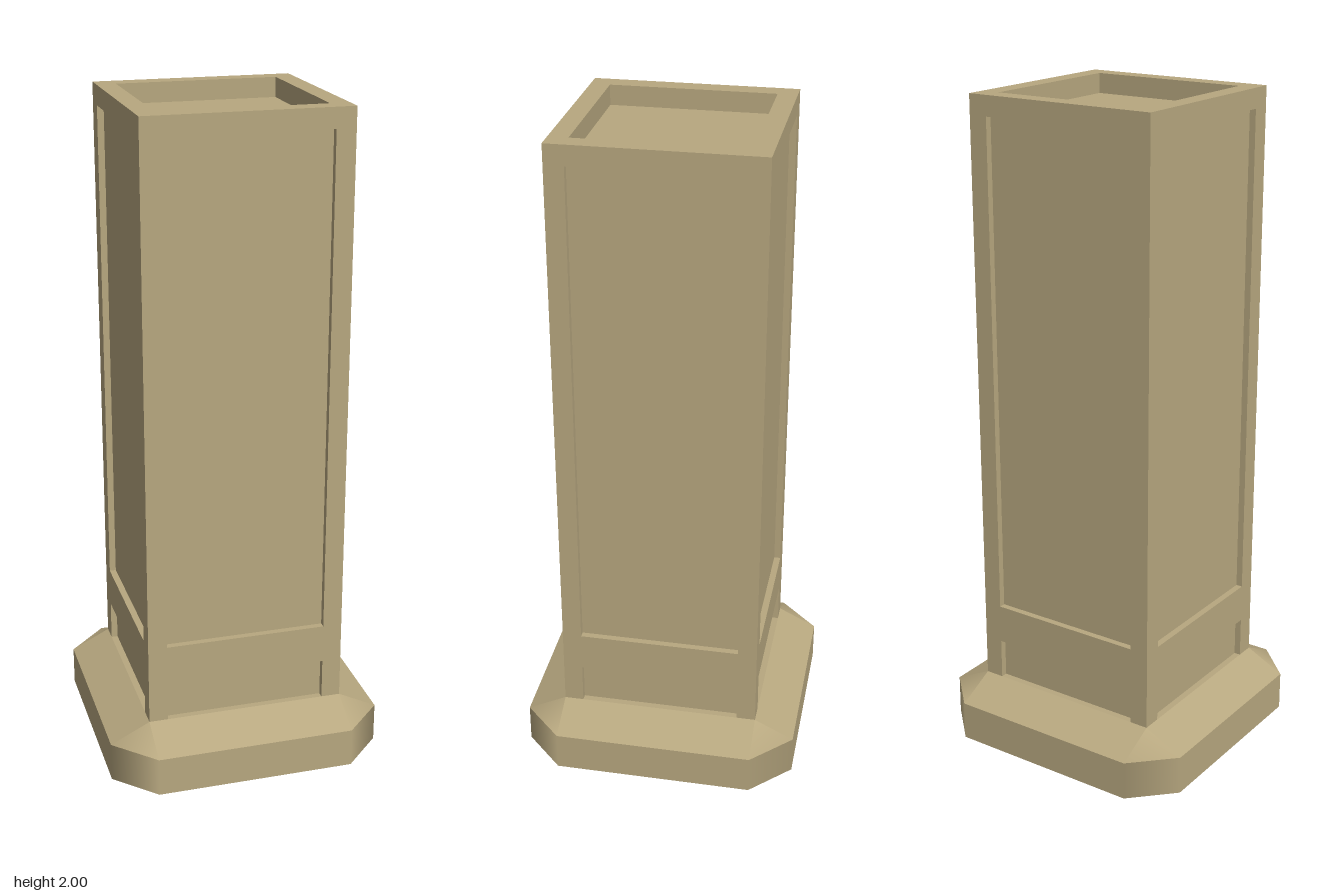
import * as THREE from 'three';
import { mergeGeometries } from 'three/addons/utils/BufferGeometryUtils.js';

const HALF = 0.303;    // half width of the shaft
const FOOT = 0.423;    // half width of the plinth
const PLINTH = 0.12;   // top of the plinth's upright sides
const SHAFT = 0.18;    // where the shaft begins
const TOP = 2;
const INSET = 0.02;    // depth of the side panels
const PANEL = 0.245;   // half width of the panels
const WELL = 0.06;     // depth of the recess in the top

// One quarter of the plinth: flat side and slope, softly rounded corner
function plinthQuarter() {
  const a = HALF, b = FOOT;
  const front = [0, 0, 1], right = [1, 0, 0], up = [0, 1, 0], down = [0, -1, 0];
  const slopeF = [0, 0.894, 0.447], slopeR = [0.447, 0.894, 0], slopeC = [0.408, 0.816, 0.408];
  const P = [-a, 0, b], Q = [a, 0, b], R = [b, 0, a], O = [0, 0, 0];
  const lift = (p, y) => [p[0], y, p[2]];
  const P1 = lift(P, PLINTH), Q1 = lift(Q, PLINTH), R1 = lift(R, PLINTH);
  const S = [-a, SHAFT, a], T = [a, SHAFT, a], C = [0, SHAFT, 0];
  const pos = [], nor = [];
  const tri = (pts, ns) => { pos.push(...pts.flat()); nor.push(...ns.flat()); };
  const quad = (p, n) => {
    tri([p[0], p[1], p[2]], [n[0], n[1], n[2]]);
    tri([p[0], p[2], p[3]], [n[0], n[2], n[3]]);
  };
  quad([P, Q, Q1, P1], [front, front, front, front]);
  quad([Q, R, R1, Q1], [front, right, right, front]);
  quad([P1, Q1, T, S], [slopeF, slopeF, slopeF, slopeF]);
  tri([Q1, R1, T], [slopeF, slopeR, slopeC]);
  tri([S, T, C], [up, up, up]);
  tri([O, Q, P], [down, down, down]);
  tri([O, R, Q], [down, down, down]);
  const g = new THREE.BufferGeometry();
  g.setAttribute('position', new THREE.Float32BufferAttribute(pos, 3));
  g.setAttribute('normal', new THREE.Float32BufferAttribute(nor, 3));
  return g;
}

const polygon = (Type, pts) => new Type(pts.map(([x, y]) => new THREE.Vector2(x, y)));
const rect = (Type, x0, y0, x1, y1) => polygon(Type, [[x0, y0], [x1, y0], [x1, y1], [x0, y1]]);

// Frame of one side: a tall opening above a low one that runs down to the plinth
function frameGeometry() {
  const end = HALF - INSET;
  const shape = polygon(THREE.Shape, [
    [-HALF, SHAFT], [-PANEL, SHAFT], [-PANEL, 0.305], [PANEL, 0.305],
    [PANEL, SHAFT], [end, SHAFT], [end, TOP], [-HALF, TOP],
  ]);
  shape.holes.push(rect(THREE.Path, -PANEL, 0.425, PANEL, 1.94));
  const g = new THREE.ExtrudeGeometry(shape, { depth: INSET, bevelEnabled: false });
  return g.translate(0, 0, HALF - INSET);
}

export function createModel() {
  const model = new THREE.Group();
  model.name = 'pedestal';
  const stone = new THREE.MeshStandardMaterial({ color: 0xb8a880 });
  stone.name = 'sandstone';

  const add = (name, geometry) => {
    const mesh = new THREE.Mesh(geometry, stone);
    mesh.name = name;
    model.add(mesh);
    return mesh;
  };

  // Plinth with cut corners
  const quarters = [0, 1, 2, 3].map((k) => plinthQuarter().rotateY(k * Math.PI / 2));
  add('plinth', mergeGeometries(quarters));

  // Core, whose faces are the sunken panels
  const inner = HALF - INSET, coreHeight = TOP - WELL - SHAFT;
  add('shaftCore', new THREE.BoxGeometry(inner * 2, coreHeight, inner * 2))
    .position.y = SHAFT + coreHeight / 2;

  // Four side frames, each butting against the next
  const frame = frameGeometry();
  for (let k = 0; k < 4; k++) add('sideFrame' + (k + 1), frame).rotation.y = k * Math.PI / 2;

  // Rim around the recess in the top
  const ring = rect(THREE.Shape, -inner, -inner, inner, inner);
  ring.holes.push(rect(THREE.Path, -PANEL, -PANEL, PANEL, PANEL));
  const rim = new THREE.ExtrudeGeometry(ring, { depth: WELL, bevelEnabled: false });
  add('topRim', rim.rotateX(-Math.PI / 2)).position.y = TOP - WELL;

  return model;
}
